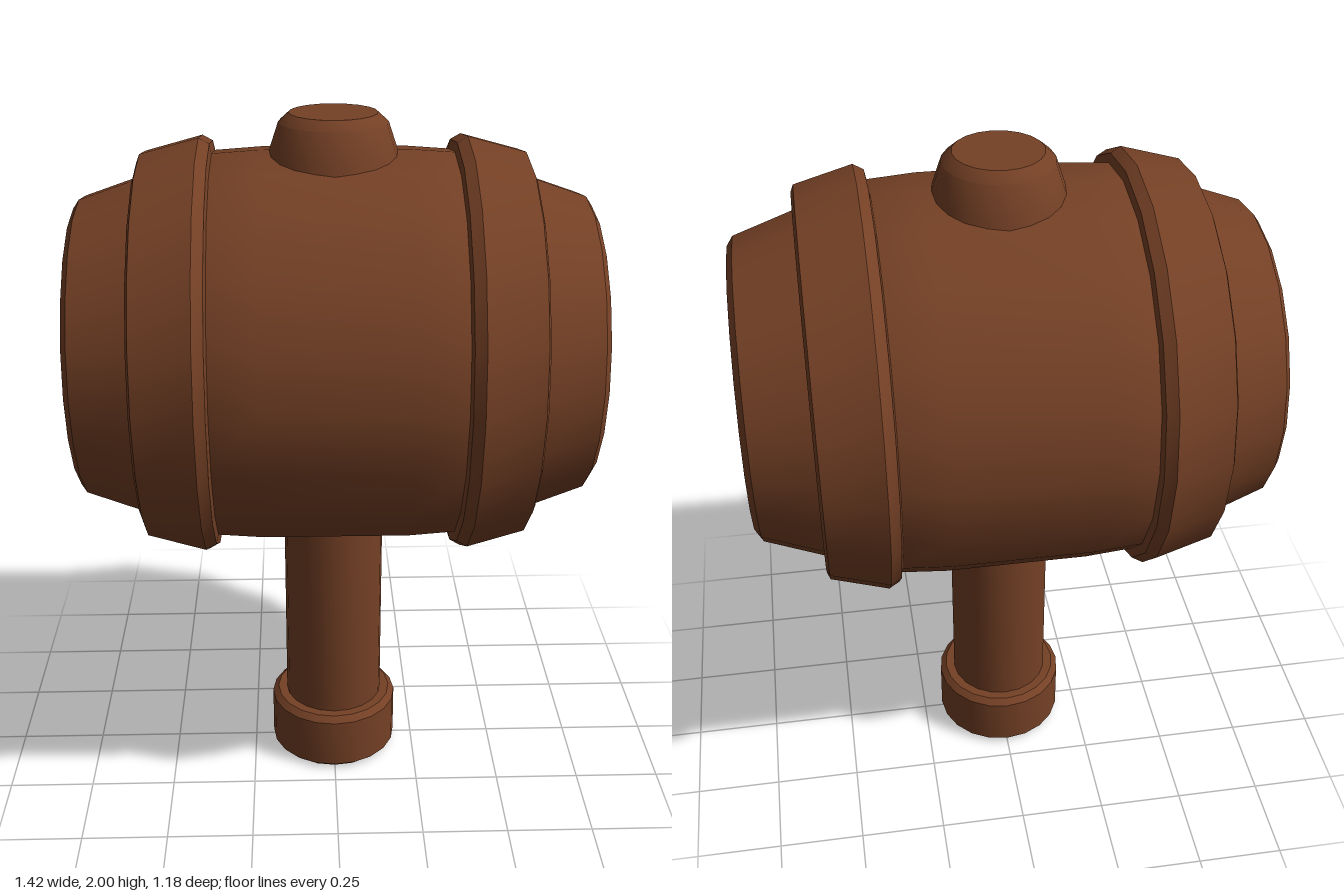
import * as THREE from 'three';
import { toCreasedNormals } from 'three/addons/utils/BufferGeometryUtils.js';

const SIDES = 20;
const HEAD_Y = 1.345;

// Turned solid from [radius, height] pairs listed from bottom to top
function turned(profile) {
  const points = profile.map(([r, y]) => new THREE.Vector2(r, y));
  return toCreasedNormals(new THREE.LatheGeometry(points, SIDES), Math.PI / 6);
}

export function createModel() {
  const group = new THREE.Group();
  const wood = new THREE.MeshStandardMaterial({ color: 0x744025 });
  wood.name = 'brown wood';

  const add = (name, geometry) => {
    const mesh = new THREE.Mesh(geometry, wood);
    mesh.name = name;
    group.add(mesh);
    return mesh;
  };

  // Barrel-shaped head, lying along x
  const half = [[0.555, 0.2], [0.545, 0.34], [0.478, 0.53], [0.422, 0.693], [0.397, 0.71], [0, 0.71]];
  const mirrored = half.map(([r, x]) => [r, -x]).reverse();
  const head = add('head', turned([...mirrored, ...half]).rotateZ(Math.PI / 2));
  head.position.y = HEAD_Y;

  // Raised hoops around both ends of the head
  const hoop = [[0.53, 0.325], [0.572, 0.333], [0.588, 0.362], [0.545, 0.522], [0.525, 0.53], [0.47, 0.53]];
  for (const side of [1, -1]) {
    const band = add(side > 0 ? 'leftHoop' : 'rightHoop', turned(hoop).rotateZ(-side * Math.PI / 2));
    band.position.y = HEAD_Y;
  }

  // Handle, its end cap and the knob where it comes out on top
  add('handle', turned([[0.148, 0.15], [0.148, 0.85]]));
  add('pommel', turned([[0, 0], [0.175, 0], [0.193, 0.016], [0.193, 0.168], [0.175, 0.185], [0, 0.185]]));
  add('topKnob', turned([[0.19, 1.84], [0.175, 1.895], [0.148, 1.975], [0.12, 2], [0, 2]]));

  return group;
}
